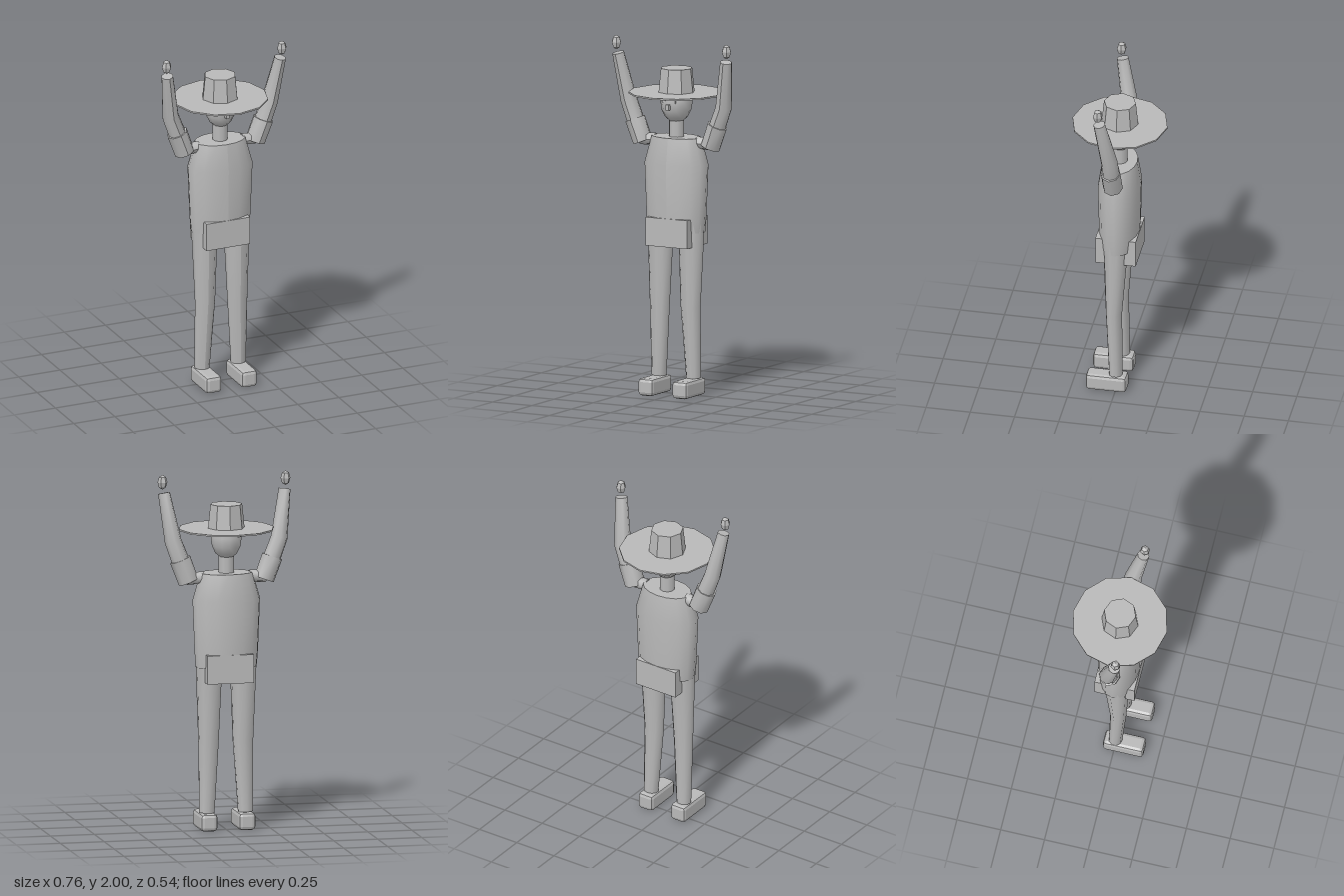
import * as THREE from 'three';
import { RoundedBoxGeometry } from 'three/addons/geometries/RoundedBoxGeometry.js';

export function createModel() {
  const model = new THREE.Group();
  model.name = 'wavingFigure';
  const grey = new THREE.MeshStandardMaterial({ color: 0xb8b8b8 });
  grey.name = 'plainGrey';

  function add(name, geometry, x = 0, y = 0, z = 0) {
    const mesh = new THREE.Mesh(geometry, grey);
    mesh.name = name;
    mesh.position.set(x, y, z);
    model.add(mesh);
    return mesh;
  }

  // Capped tapering limb through stations [x, y, z, radiusX, radiusZ]; a cylinder bent ring by ring
  function limb(stations, sides) {
    const rows = stations.length - 1;
    const geo = new THREE.CylinderGeometry(1, 1, 1, sides, rows);
    const pts = stations.map((s) => new THREE.Vector3(s[0], s[1], s[2]));
    const turns = pts.map((p, i) => {
      const dir = pts[Math.min(i + 1, rows)].clone().sub(pts[Math.max(i - 1, 0)]).normalize();
      return new THREE.Quaternion().setFromUnitVectors(new THREE.Vector3(0, 1, 0), dir);
    });
    const pos = geo.attributes.position;
    const v = new THREE.Vector3();
    for (let i = 0; i < pos.count; i++) {
      const k = Math.round((pos.getY(i) + 0.5) * rows);
      const [, , , rx, rz = rx] = stations[k];
      v.set(pos.getX(i) * rx, 0, pos.getZ(i) * rz).applyQuaternion(turns[k]).add(pts[k]);
      pos.setXYZ(i, v.x, v.y, v.z);
    }
    geo.computeVertexNormals();
    return geo;
  }

  // Flat-sided copy of a geometry
  function faceted(geo) {
    const flat = geo.toNonIndexed();
    flat.computeVertexNormals();
    return flat;
  }

  // Torso and hem
  add('torso', limb([
    [0, 0.92, 0, 0.173, 0.108],
    [0, 1.0, 0, 0.18, 0.113],
    [0, 1.3, 0, 0.192, 0.12],
    [0, 1.45, 0, 0.148, 0.098],
  ], 16));
  add('hips', new THREE.BoxGeometry(0.264, 0.16, 0.228), 0, 0.92, 0);

  // Neck and head
  add('neck', new THREE.CylinderGeometry(0.043, 0.043, 0.13, 10), 0, 1.495, 0);
  add('head', new THREE.SphereGeometry(1, 12, 8), 0, 1.645, 0).scale.set(0.088, 0.12, 0.094);
  add('hair', new THREE.SphereGeometry(1, 12, 6, 0, Math.PI * 2, 0, Math.PI / 2), 0, 1.655, -0.006)
    .scale.set(0.088, 0.115, 0.092);
  add('nose', new THREE.BoxGeometry(0.02, 0.032, 0.03), 0, 1.625, 0.094);

  // Hat
  add('hatBrim', faceted(new THREE.CylinderGeometry(0.268, 0.268, 0.009, 12)), 0, 1.696, 0);
  add('hatCrown', faceted(new THREE.CylinderGeometry(0.09, 0.104, 0.137, 8)), 0, 1.766, 0);

  // Mirrored parts
  for (const [side, s] of [['left', 1], ['right', -1]]) {
    add(side + 'Eye', new THREE.BoxGeometry(0.018, 0.018, 0.009), s * 0.033, 1.656, 0.086);

    add(side + 'Leg', limb([
      [s * 0.11, 0.1, 0.002, 0.043, 0.038],
      [s * 0.098, 0.5, 0.015, 0.058, 0.046],
      [s * 0.097, 0.97, 0.005, 0.076, 0.072],
    ], 10));
    add(side + 'Shoe', faceted(new RoundedBoxGeometry(0.096, 0.098, 0.23, 1, 0.02)), s * 0.108, 0.05, 0.052);

    add(side + 'Shoulder', limb([
      [s * 0.13, 1.425, 0, 0.034],
      [s * 0.225, 1.42, 0, 0.034],
    ], 8));
    add(side + 'Sleeve', limb([
      [s * 0.215, 1.405, -0.002, 0.058, 0.056],
      [s * 0.262, 1.53, 0.003, 0.06, 0.056],
    ], 8));
    add(side + 'Arm', limb([
      [s * 0.225, 1.43, 0, 0.052],
      [s * 0.302, 1.635, 0.003, 0.048],
      [s * 0.343, 1.9, 0.051, 0.034],
    ], 8));
    add(side + 'Hand', faceted(new THREE.SphereGeometry(1, 6, 4)), s * 0.35, 1.959, 0.058)
      .scale.set(0.028, 0.041, 0.028);
  }

  return model;
}
